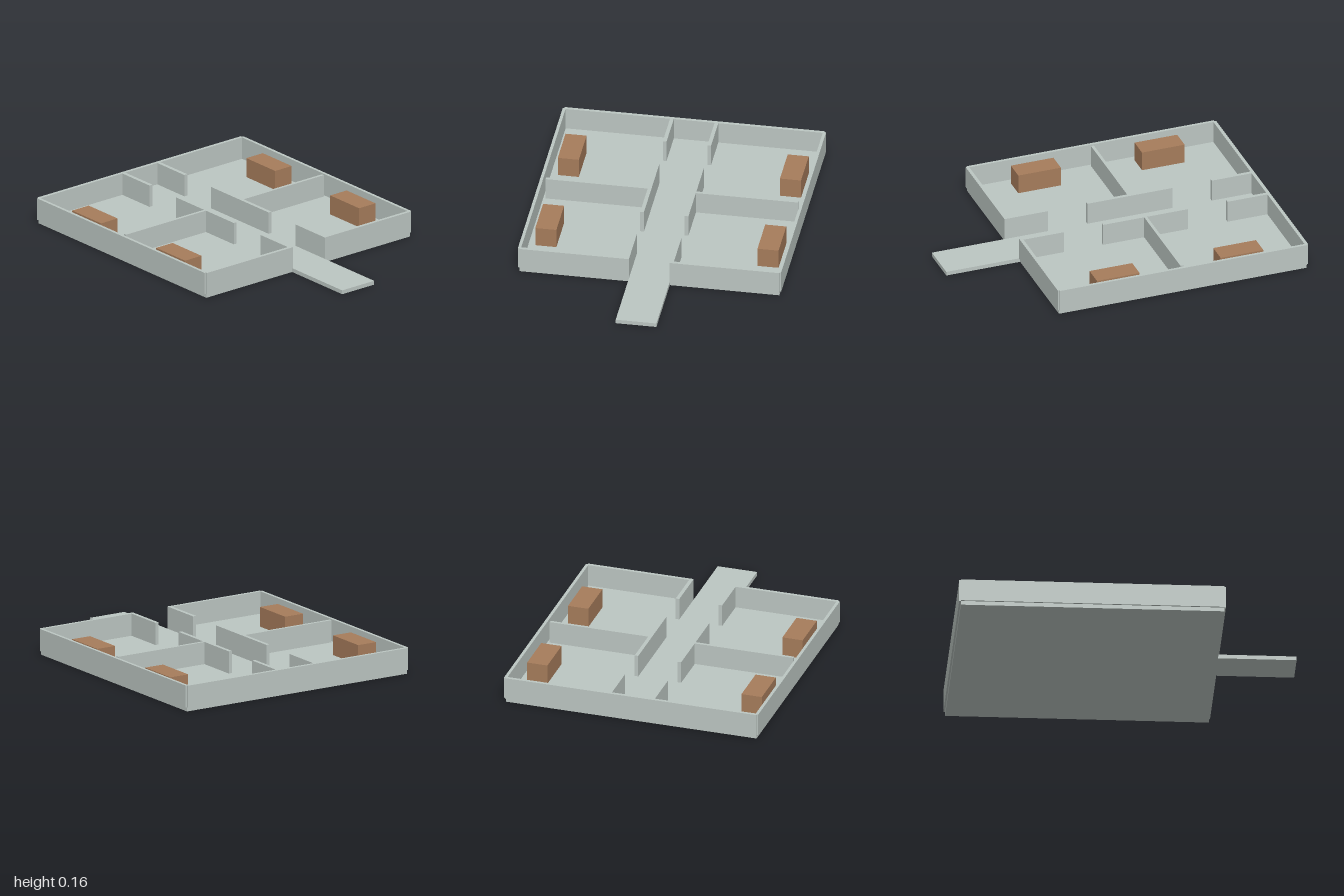
import * as THREE from 'three';

const FLOOR = 0.024, TOP = 0.157;

export function createModel() {
  const model = new THREE.Group();
  const stone = new THREE.MeshStandardMaterial({ color: 0xbcc6c2 });
  const wood = new THREE.MeshStandardMaterial({ color: 0xa67c5b });

  // Box given by its limits on each axis
  const block = (name, [x0, x1], [y0, y1], [z0, z1], material = stone) => {
    const mesh = new THREE.Mesh(new THREE.BoxGeometry(x1 - x0, y1 - y0, z1 - z0), material);
    mesh.position.set((x0 + x1) / 2, (y0 + y1) / 2, (z0 + z1) / 2);
    mesh.name = name;
    model.add(mesh);
  };
  const wall = (name, x, z) => block(name, x, [FLOOR, TOP], z);

  // Ground slab and entrance path
  block('floor', [-0.765, 0.765], [0, FLOOR], [-0.99, 0.543]);
  block('entrancePath', [-0.12, 0.12], [0, FLOOR], [0.543, 1]);

  wall('backWall', [-0.765, 0.765], [-1, -0.98]);

  // Rooms mirrored on both sides of the corridor
  for (const [side, s] of [['left', 1], ['right', -1]]) {
    const span = (a, b) => (s > 0 ? [a, b] : [-b, -a]);

    wall(`${side}OuterWall`, span(0.757, 0.775), [-0.99, 0.54]);
    wall(`${side}FrontWall`, span(0.12, 0.765), [0.53, 0.55]);
    wall(`${side}RoomDivider`, span(0.142, 0.743), [-0.235, -0.217]);

    // Corridor wall pieces with doorways between them
    [[-0.98, -0.733], [-0.489, 0.037], [0.28, 0.53]].forEach((z, i) =>
      wall(`${side}CorridorWall${i + 1}`, span(0.12, 0.142), z));

    // One bed-like block in each room
    [[-0.741, -0.477], [0.025, 0.289]].forEach((z, i) =>
      block(`${side}Bed${i + 1}`, span(0.592, 0.716), [FLOOR, 0.142], z, wood));
  }
  return model;
}
